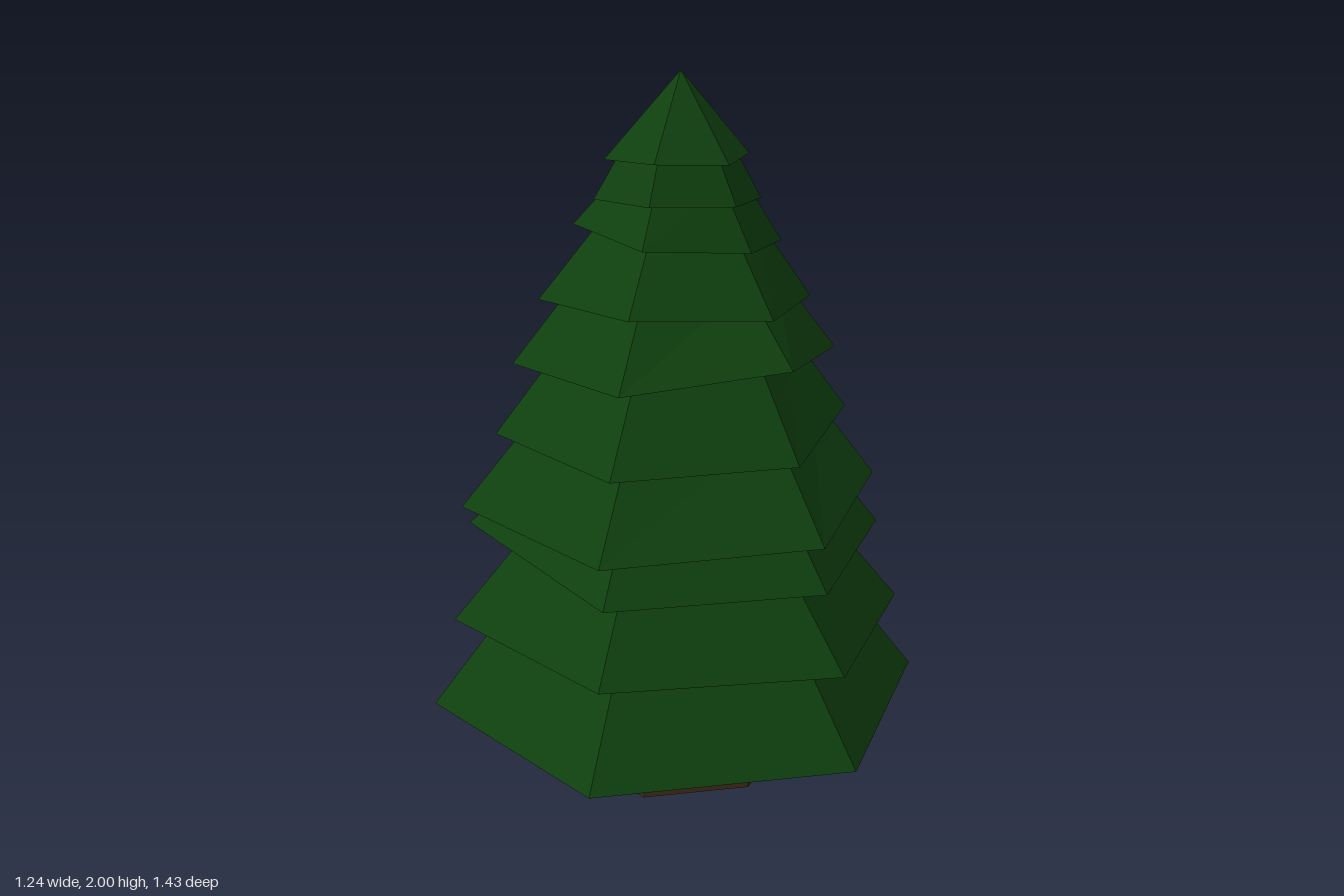
import * as THREE from 'three';

const SIDES = 6;

// Closed faceted skin over a list of rings; a ring of one point makes a fan.
function loft(rings) {
  const pos = [];
  const tri = (...pts) => pts.forEach((p) => pos.push(...p));
  for (let i = 0; i < rings.length - 1; i++) {
    const a = rings[i], b = rings[i + 1];
    for (let k = 0; k < SIDES; k++) {
      const n = (k + 1) % SIDES;
      if (a.length === 1) tri(a[0], b[n], b[k]);
      else if (b.length === 1) tri(a[k], a[n], b[0]);
      else {
        tri(a[k], a[n], b[n]);
        tri(a[k], b[n], b[k]);
      }
    }
  }
  const geometry = new THREE.BufferGeometry();
  geometry.setAttribute('position', new THREE.Float32BufferAttribute(pos, 3));
  geometry.computeVertexNormals();
  return geometry;
}

// Hexagon with corners in the order front, front left, back left, back, back right, front right.
function hexagon(halfWidth, zFront, zBack, heights) {
  const mid = (zFront + zBack) / 2, radius = (zFront - zBack) / 2;
  return heights.map((y, k) => {
    const a = (k * Math.PI) / 3;
    return [(Math.sin(a) / Math.sin(Math.PI / 3)) * halfWidth, y, mid + Math.cos(a) * radius];
  });
}

// Each tier: half width, front z, back z, six rim heights, top radius, top height
const TIERS = [
  [0.62, 0.715, -0.715, [0.22, 0.22, 0.22, 0.22, 0.29, 0.22], 0.46, 0.55],
  [0.57, 0.64, -0.68, [0.48, 0.465, 0.44, 0.43, 0.44, 0.47], 0.39, 0.78],
  [0.515, 0.6, -0.595, [0.69, 0.69, 0.69, 0.69, 0.69, 0.77], 0.43, 0.9],
  [0.515, 0.625, -0.5, [0.815, 0.835, 0.865, 0.925, 0.86, 0.83], 0.38, 1.1],
  [0.43, 0.54, -0.455, [1.02, 1.03, 1.06, 1.07, 1.06, 1.035], 0.3, 1.3],
  [0.395, 0.47, -0.435, [1.225, 1.27, 1.23, 1.225, 1.225, 1.225], 0.27, 1.46],
  [0.33, 0.395, -0.36, [1.405, 1.39, 1.38, 1.37, 1.38, 1.4], 0.22, 1.6],
  [0.25, 0.29, -0.295, [1.565, 1.55, 1.535, 1.525, 1.53, 1.6], 0.175, 1.72],
  [0.2, 0.235, -0.23, [1.67, 1.665, 1.655, 1.655, 1.655, 1.665], 0.14, 1.82],
  [0.175, 0.195, -0.17, [1.775, 1.77, 1.78, 1.785, 1.78, 1.77], 0, 2],
];

function tierGeometry([halfWidth, zFront, zBack, heights, topRadius, topY]) {
  const rim = hexagon(halfWidth, zFront, zBack, heights);
  const midZ = (zFront + zBack) / 2;
  const lift = 0.085 * halfWidth;
  // recessed underside
  const inner = rim.map(([x, y, z]) => [x * 0.87, y + lift, midZ + (z - midZ) * 0.87]);
  const centreY = heights.reduce((s, y) => s + y, 0) / SIDES + lift;
  const rings = [[[0, centreY, midZ]], inner, rim];
  if (topRadius > 0) {
    const w = topRadius * Math.sin(Math.PI / 3);
    rings.push(hexagon(w, topRadius, -topRadius, Array(SIDES).fill(topY)));
  }
  // flat cap, or the pointed tip on the last tier
  rings.push([[0, topY, topRadius > 0 ? 0 : -0.02]]);
  return loft(rings);
}

export function createModel() {
  const tree = new THREE.Group();
  tree.name = 'pineTree';
  const bark = new THREE.MeshStandardMaterial({ color: 0x3b2718, flatShading: true });
  const needles = new THREE.MeshStandardMaterial({ color: 0x0f400f, flatShading: true });

  // Tapered trunk
  const trunk = new THREE.Mesh(new THREE.CylinderGeometry(0.21, 0.306, 0.3, SIDES), bark);
  trunk.position.y = 0.15;
  trunk.name = 'trunk';
  tree.add(trunk);

  // Overlapping branch tiers
  const foliage = new THREE.Group();
  foliage.name = 'foliage';
  TIERS.forEach((tier, i) => {
    const mesh = new THREE.Mesh(tierGeometry(tier), needles);
    mesh.name = `branchTier${i + 1}`;
    foliage.add(mesh);
  });
  tree.add(foliage);
  return tree;
}
